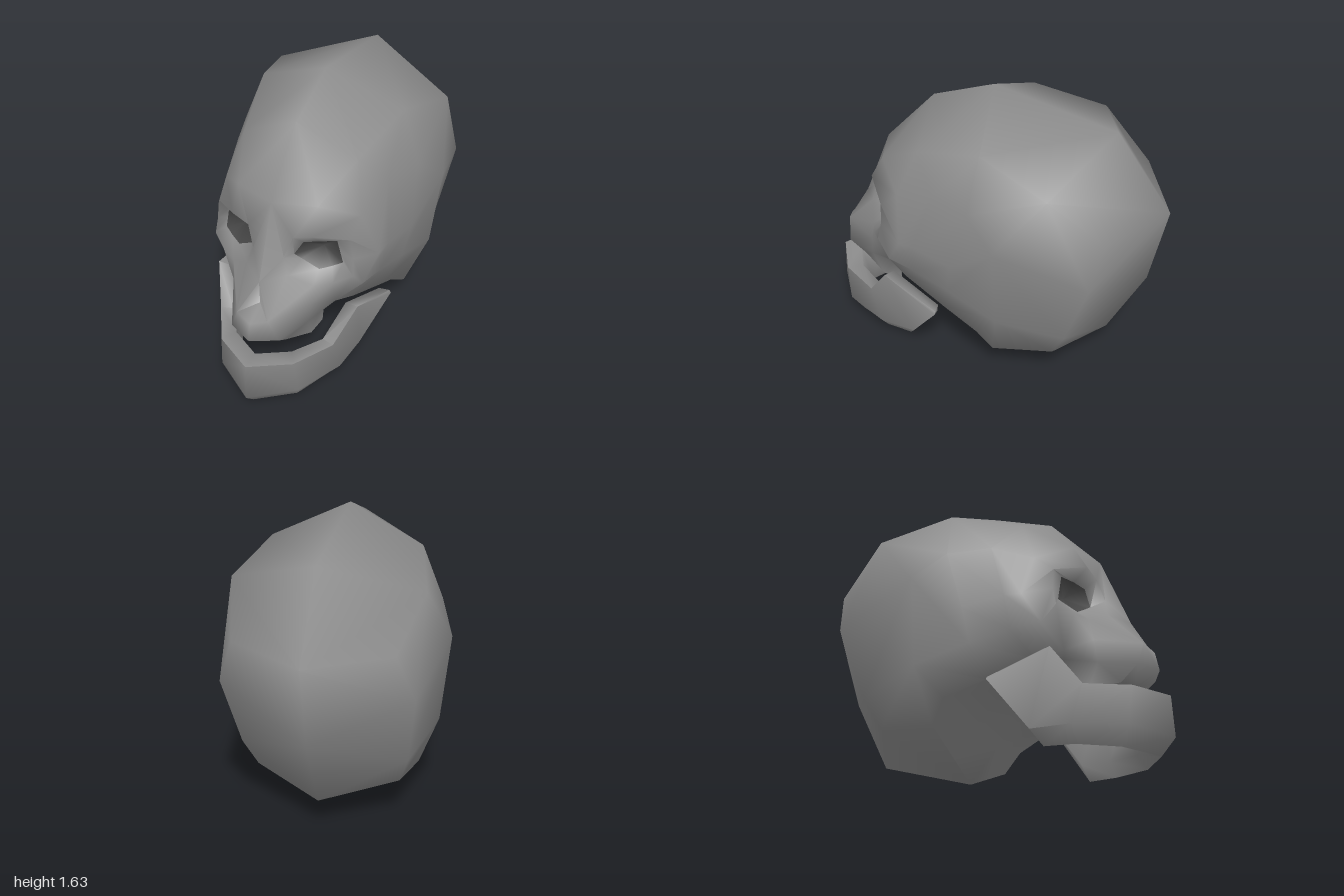
import * as THREE from 'three';
import { toCreasedNormals } from 'three/addons/utils/BufferGeometryUtils.js';

const material = (color) => new THREE.MeshStandardMaterial({ color, side: THREE.DoubleSide });
const bone = material(0x8c8c8c);
const hollow = material(0x484848);

// Skins a grid of left-half points (outside = row step x column step) and mirrors it.
function skin(out, rows, closed = false) {
  const same = (p, q) => p.every((v, k) => Math.abs(v - q[k]) < 1e-6);
  const flip = ([x, y, z]) => [-x, y, z];
  const tri = (a, b, c) => {
    if (same(a, b) || same(b, c) || same(a, c)) return;
    out.push(...a, ...b, ...c, ...flip(a), ...flip(c), ...flip(b));
  };
  for (let i = 0; i + 1 < rows.length; i++) {
    const n = rows[i].length;
    for (let j = 0; j < (closed ? n : n - 1); j++) {
      const k = (j + 1) % n;
      tri(rows[i][j], rows[i + 1][j], rows[i][k]);
      tri(rows[i + 1][j], rows[i + 1][k], rows[i][k]);
    }
  }
}

function makeMesh(name, positions, mat) {
  const g = new THREE.BufferGeometry();
  g.setAttribute('position', new THREE.Float32BufferAttribute(positions, 3));
  const mesh = new THREE.Mesh(toCreasedNormals(g, 1.4), mat);
  mesh.name = name;
  return mesh;
}

const repeat = (p, n) => Array(n).fill(p);

// Points shared between neighbouring patches
const glabella = [0, 1.19, 0.64], forehead = [0.23, 1.19, 0.57], temple = [0.4, 1.08, 0.41];
const orbitSide = [0.49, 0.83, 0.37], cheekbone = [0.44, 0.67, 0.46], cheek = [0.31, 0.55, 0.53];
const cheekInner = [0.235, 0.61, 0.67];
const noseSide = [0.09, 0.61, 0.89], noseTop = [0, 0.78, 0.8], noseBase = [0, 0.585, 0.92];
const side = [0.615, 1.0, -0.22], lowSide = [0.56, 0.51, -0.22];
const archEnd = [0.48, 0.33, -0.08], archMid = [0.43, 0.41, 0.14], archFront = [0.36, 0.5, 0.4];
const baseCentre = [0, 0.01, -0.16], baseSide = [0.44, 0.2, -0.16];
const jawRoot = [0.235, 0.53, 0.5], palateBack = [0, 0.5, 0.5];

// outline of the eye hollow, clockwise from the nose
const eyeHole = [
  [0.16, 0.96, 0.6], [0.24, 0.97, 0.57], [0.32, 0.975, 0.53], [0.335, 0.9, 0.525], [0.35, 0.83, 0.52],
  [0.3, 0.81, 0.55], [0.24, 0.79, 0.58], [0.15, 0.845, 0.6], [0.11, 0.87, 0.61],
];

function skull() {
  const out = [];

  // braincase: rows run from the forehead over the top to the base, centre line first
  const crown = [forehead, [0.33, 1.34, 0.31], [0.42, 1.45, -0.08]];
  const corner = [0.52, 1.33, -0.48], backSide = [0.52, 0.83, -0.72];
  const nape = [[0.46, 0.42, -0.58], [0.4, 0.25, -0.5], baseSide];
  const pole = [0, 1.06, -1];
  const flank = [side, side, side, lowSide, lowSide, archEnd];
  skin(out, [
    [glabella, [0, 1.51, 0.35], [0, 1.64, 0], [0, 1.49, -0.69], pole, pole, [0, 0.6, -0.91], [0, 0.18, -0.7], baseCentre],
    [...crown, corner, [0.43, 1.08, -0.77], backSide, ...nape],
    [...crown, corner, backSide, backSide, ...nape],
    [temple, [0.45, 1.17, 0.18], [0.53, 1.15, -0.05], ...flank],
    [orbitSide, [0.505, 0.84, 0.28], [0.545, 0.8, 0.05], ...flank],
    [cheekbone, [0.47, 0.65, 0.3], [0.51, 0.6, 0.08], ...repeat(lowSide, 5), archEnd],
    [cheek, archFront, archMid, ...repeat(archEnd, 6)],
  ]);

  // face around the eye: face edge, socket rim, edge of the hollow
  skin(out, [
    [glabella, forehead, temple, orbitSide, cheekbone, cheek, cheekInner, noseSide, noseTop],
    [[0.13, 1.02, 0.66], [0.23, 1.05, 0.645], [0.39, 0.99, 0.515], [0.405, 0.87, 0.515], [0.415, 0.77, 0.535],
      [0.33, 0.74, 0.6], [0.24, 0.73, 0.65], [0.12, 0.8, 0.71], [0.09, 0.9, 0.69]],
    eyeHole,
  ], true);

  // nose opening
  skin(out, [[noseTop, noseSide, noseBase], repeat([0, 0.64, 0.8], 3)]);

  // upper jaw: from nose and cheek down to the lip, then back over the palate
  const lipBack = [0.22, 0.35, 0.5];
  skin(out, [
    [noseBase, noseSide, cheekInner, cheek],
    [[0, 0.48, 0.94], [0.14, 0.48, 0.87], [0.22, 0.49, 0.68], jawRoot],
    [[0, 0.4, 0.8], [0.13, 0.395, 0.77], [0.21, 0.35, 0.62], lipBack],
    [[0, 0.46, 0.72], [0.1, 0.46, 0.7], [0.16, 0.45, 0.6], lipBack],
    [palateBack, [0.12, 0.5, 0.5], [0.2, 0.5, 0.5], jawRoot],
  ]);

  // underside between the cheek arches and the neck
  skin(out, [
    [cheek, archFront, archMid, archEnd, baseSide],
    [jawRoot, [0.24, 0.53, 0.42], [0.24, 0.43, 0.16], [0.22, 0.25, -0.03], [0.22, 0.105, -0.16]],
    [palateBack, [0, 0.5, 0.42], [0, 0.38, 0.16], [0, 0.2, 0], baseCentre],
  ]);
  return makeMesh('skull', out, bone);
}

// dark hollows behind the eye openings
function eyeSockets() {
  const out = [];
  skin(out, [eyeHole, repeat([0.23, 0.89, 0.5], eyeHole.length)], true);
  return makeMesh('eyeSockets', out, hollow);
}

// lower jaw: sections from the chin to the hinge
// (outer bottom, outer middle, outer top, inner top, inner bottom)
function lowerJaw() {
  const out = [];
  skin(out, [
    [[0, 0.01, 0.92], [0, 0.1, 1.0], [0, 0.33, 0.99], [0, 0.33, 0.88], [0, 0.08, 0.82]],
    [[0.2, 0.02, 0.78], [0.24, 0.12, 0.84], [0.22, 0.33, 0.86], [0.17, 0.33, 0.78], [0.17, 0.1, 0.73]],
    [[0.3, 0.035, 0.57], [0.365, 0.12, 0.58], [0.35, 0.33, 0.64], [0.28, 0.33, 0.62], [0.27, 0.12, 0.55]],
    [[0.32, 0.04, 0.41], [0.385, 0.12, 0.36], [0.43, 0.53, 0.5], [0.35, 0.51, 0.48], [0.31, 0.14, 0.37]],
    [[0.46, 0.37, 0.18], [0.49, 0.385, 0.17], [0.48, 0.4, 0.17], [0.42, 0.4, 0.18], [0.41, 0.37, 0.19]],
    repeat([0.45, 0.385, 0.17], 5),
  ], true);
  return makeMesh('lowerJaw', out, bone);
}

export function createModel() {
  const group = new THREE.Group();
  group.name = 'skullModel';
  group.add(skull(), eyeSockets(), lowerJaw());
  return group;
}
